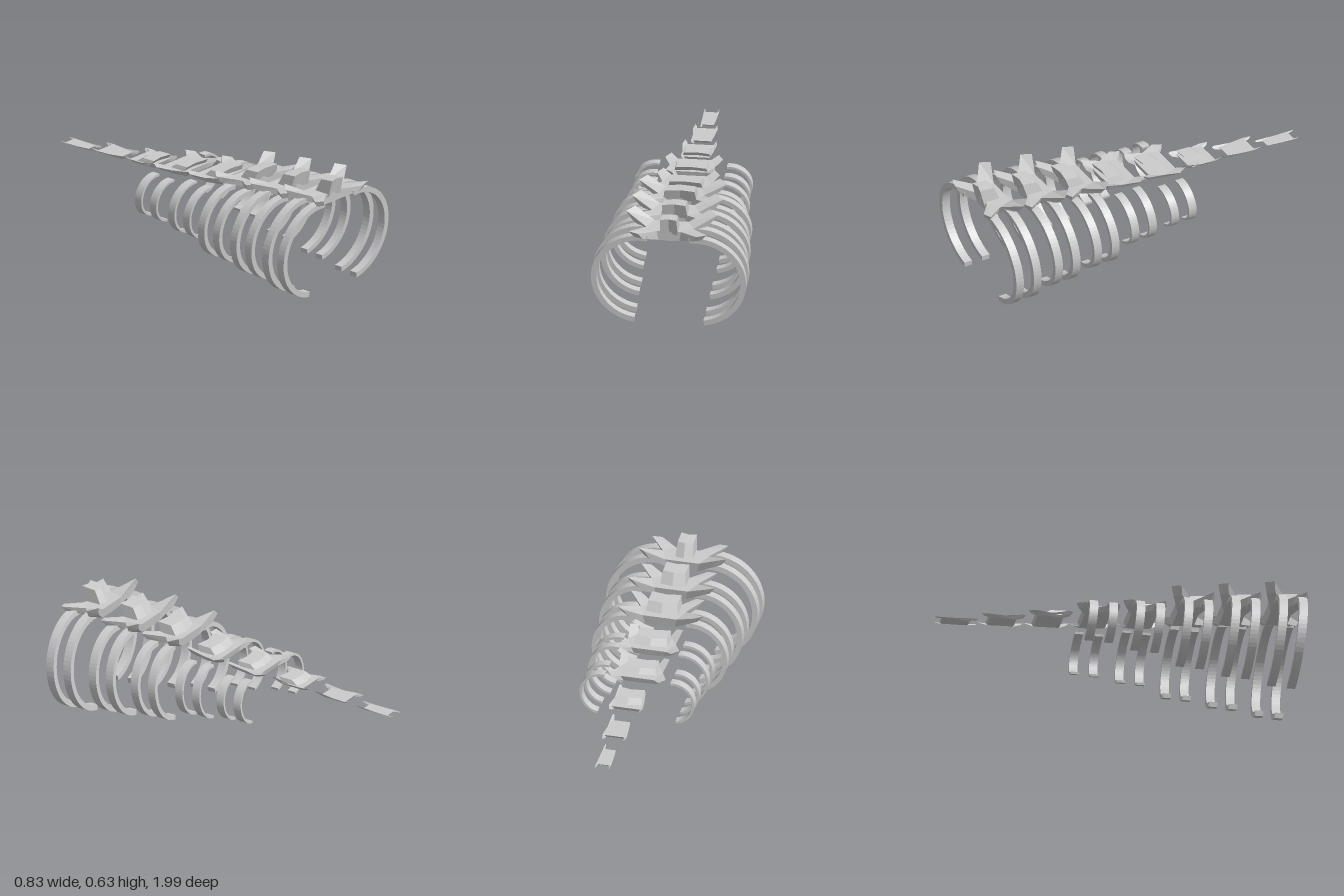
import * as THREE from 'three';

const material = new THREE.MeshStandardMaterial({ color: 0xcccccc, flatShading: true, side: THREE.DoubleSide });
const lerp = THREE.MathUtils.lerp;

// One entry per vertebra, front to back. notch, body: fractions of the half width.
const VERTEBRAE = [
  { width: 0.243, notch: 0.52, body: 0.38, bottom: 0.492, top: 0.55, backTip: 0.61, frontTip: 0.567, spine: [0.045, 0.63] },
  { width: 0.242, notch: 0.52, body: 0.38, bottom: 0.47, top: 0.528, backTip: 0.58, frontTip: 0.548, spine: [0.065, 0.597] },
  { width: 0.235, notch: 0.52, body: 0.40, bottom: 0.45, top: 0.505, backTip: 0.55, frontTip: 0.53, spine: [0.084, 0.56] },
  { width: 0.168, notch: 0.78, body: 0.56, bottom: 0.417, top: 0.455, backTip: 0.473, frontTip: 0.485, spine: [0.088, 0.49] },
  { width: 0.155, notch: 0.78, body: 0.58, bottom: 0.398, top: 0.43, backTip: 0.442, frontTip: 0.452, spine: [0.085, 0.455] },
  { width: 0.093, notch: 0.88, body: 0.82, bottom: 0.375, top: 0.395, backTip: 0.402, frontTip: 0.415, spine: [0.07, 0.42] },
  { width: 0.066, notch: 0.88, body: 0.82, bottom: 0.355, top: 0.37, backTip: 0.372, frontTip: 0.384 },
  { width: 0.041, notch: 0.93, body: 0.88, bottom: 0.336, top: 0.344, backTip: 0.343, frontTip: 0.351 },
];

// Rib rings: outer edge, outer radius, centre height, thickness
const RIBS = [
  { edge: 0.415, radius: 0.268, height: 0.268, thick: 0.03 },
  { edge: 0.392, radius: 0.237, height: 0.272, thick: 0.028 },
  { edge: 0.37, radius: 0.203, height: 0.274, thick: 0.025 },
  { edge: 0.328, radius: 0.146, height: 0.29, thick: 0.014 },
  { edge: 0.314, radius: 0.118, height: 0.297, thick: 0.013 },
];

// Four-winged plate: half outline from back to front, mirrored, with sloping sides
function plateGeometry(v) {
  const { width: w, notch, body, bottom, top, backTip, frontTip } = v;
  const wide = w > 0.2;
  const inner = Math.max(0.82, body + 0.06);
  // x, z, top height, how far the underside rises toward the top
  const outline = [
    [0, -0.08, top, 0],
    [body * w, -0.08, top, 0.05],
    [inner * w, -0.121, backTip, 0.55],
    [w, -0.075, backTip - 0.1 * (backTip - bottom), 0.55],
    [notch * w, 0.005, top, 0.25],
    [0.86 * w, 0.107, frontTip, 0.5],
    [Math.max(0.64, body * 0.95) * w, 0.12, frontTip - 0.1 * (frontTip - bottom), 0.5],
    [body * (wide ? 0.7 : 0.9) * w, wide ? 0.05 : 0.075, top, 0.05],
    [0, wide ? 0.05 : 0.075, top, 0],
    [0, 0, top, 0],
  ];
  const faces = [[9, 0, 1], [1, 2, 3], [1, 3, 4], [9, 1, 4], [9, 4, 7], [4, 5, 7], [5, 6, 7], [9, 7, 8]];
  const positions = [];
  for (const side of [1, -1]) {
    const upper = outline.map(([x, z, y]) => [side * x, y, z]);
    const lower = outline.map(([x, z, y, rise]) => [side * x * 0.86, lerp(bottom, y, rise), z * 0.88]);
    const add = (a, b, c) => positions.push(...a, ...(side > 0 ? b : c), ...(side > 0 ? c : b));
    for (const [a, b, c] of faces) {
      add(upper[a], upper[c], upper[b]);
      add(lower[a], lower[b], lower[c]);
    }
    for (let i = 0; i < 8; i++) {
      add(upper[i], upper[i + 1], lower[i]);
      add(upper[i + 1], lower[i + 1], lower[i]);
    }
  }
  const geometry = new THREE.BufferGeometry();
  geometry.setAttribute('position', new THREE.Float32BufferAttribute(positions, 3));
  geometry.computeVertexNormals();
  return geometry;
}

// Forward-leaning block with a shallow ridge along the middle
function spineGeometry([half, peak], base) {
  const geometry = new THREE.BoxGeometry(2, 1, 2, 2, 1, 1);
  const p = geometry.attributes.position;
  for (let i = 0; i < p.count; i++) {
    const x = p.getX(i), up = p.getY(i) > 0, front = p.getZ(i) > 0;
    const ridge = x === 0 ? -0.012 : 0;
    const z = up ? (front ? 0.08 : 0) : (front ? 0.055 : -0.045);
    const drop = up && !front ? 0.08 * (peak - base) : 0;
    p.setXYZ(i, x * half * (up ? 0.95 : 1.08), (up ? peak : base) - drop, z + ridge);
  }
  geometry.computeVertexNormals();
  return geometry;
}

// Flat open ring, leaning forward at the top
function ribGeometry({ edge, radius, height, thick }) {
  const start = THREE.MathUtils.degToRad(-81), end = THREE.MathUtils.degToRad(98);
  const shape = new THREE.Shape();
  shape.absarc(0, 0, radius, start, end, false);
  shape.absarc(0, 0, radius - thick, end, start, true);
  const geometry = new THREE.ExtrudeGeometry(shape, { depth: 0.046, bevelEnabled: false, curveSegments: 16 });
  const p = geometry.attributes.position;
  for (let i = 0; i < p.count; i++) p.setZ(i, p.getZ(i) - 0.023 + 0.09 * p.getY(i));
  geometry.translate(edge - radius, height, 0);
  geometry.computeVertexNormals();
  return geometry;
}

// Mirror a geometry across x = 0, keeping faces outward
function mirrored(geometry) {
  const copy = geometry.clone().scale(-1, 1, 1);
  const p = copy.attributes.position;
  for (let i = 0; i < p.count; i += 3) {
    const b = new THREE.Vector3().fromBufferAttribute(p, i + 1);
    const c = new THREE.Vector3().fromBufferAttribute(p, i + 2);
    p.setXYZ(i + 1, c.x, c.y, c.z);
    p.setXYZ(i + 2, b.x, b.y, b.z);
  }
  copy.computeVertexNormals();
  return copy;
}

export function createModel() {
  const model = new THREE.Group();
  model.name = 'ribcageAndTail';

  VERTEBRAE.forEach((v, i) => {
    const segment = new THREE.Group();
    segment.name = `vertebra${i + 1}`;
    segment.position.z = 0.877 - 0.2505 * i;
    const add = (name, geometry, y = 0, z = 0) => {
      const mesh = new THREE.Mesh(geometry, material);
      mesh.name = name;
      mesh.position.set(0, y, z);
      segment.add(mesh);
    };

    add('wingedPlate', plateGeometry(v));
    if (v.spine) add('spineBlock', spineGeometry(v.spine, lerp(v.bottom, v.top, 0.7)));

    // Two pairs of ribs under each of the first five vertebrae
    if (RIBS[i]) {
      const left = ribGeometry(RIBS[i]);
      const right = mirrored(left);
      [['front', 0, 0.045], ['back', 0.005, -0.062]].forEach(([place, y, z]) => {
        add(`${place}LeftRib`, left, y, z);
        add(`${place}RightRib`, right, y, z);
      });
    }
    model.add(segment);
  });
  return model;
}
